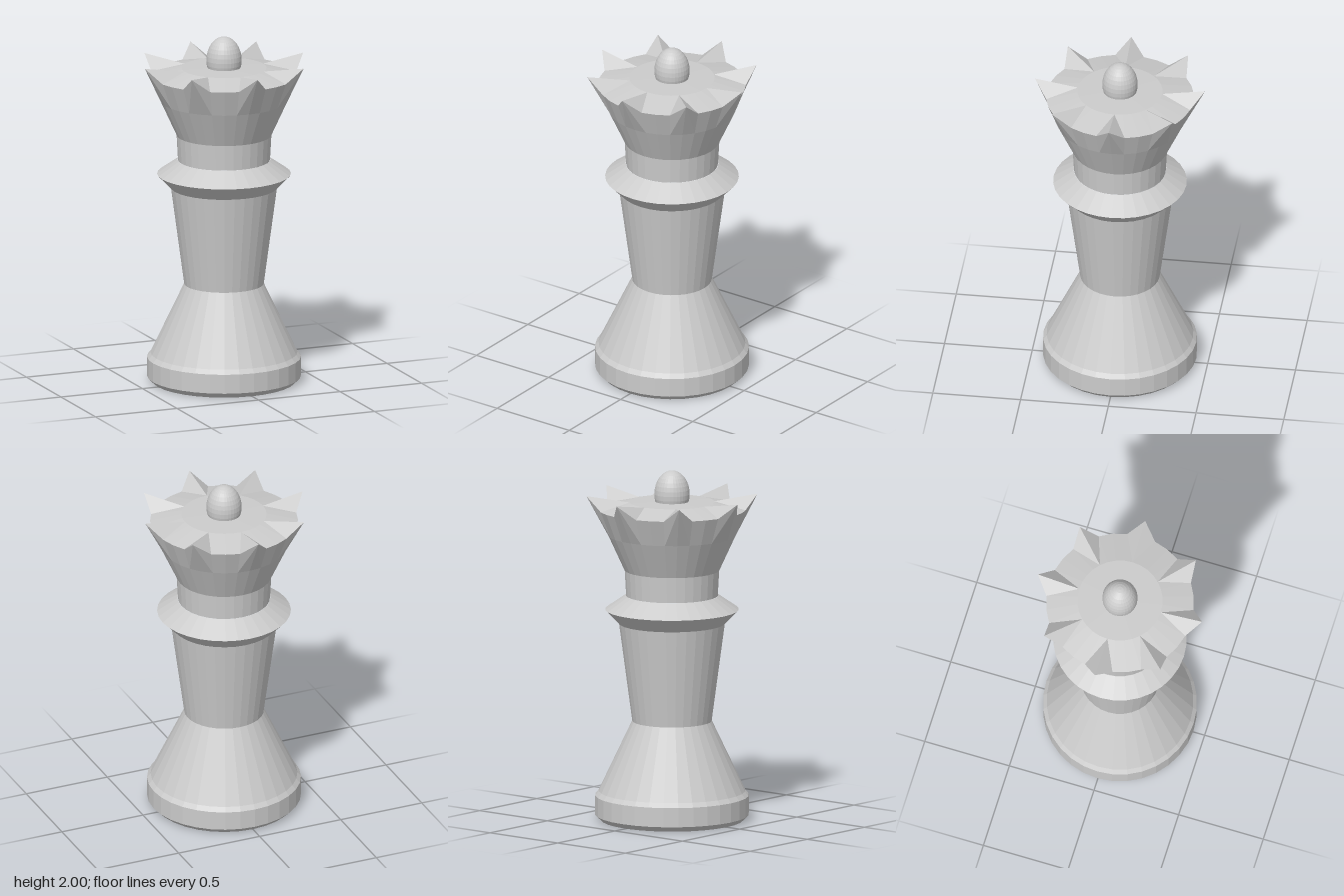
import * as THREE from 'three';

const SIDES = 32;

export function createModel() {
  const group = new THREE.Group();
  const material = new THREE.MeshStandardMaterial({ color: 0xcccccc, flatShading: true });

  function add(name, geometry) {
    const mesh = new THREE.Mesh(geometry, material);
    mesh.name = name;
    group.add(mesh);
    return mesh;
  }

  // Turned part from a [radius, height] profile, listed bottom to top
  function turned(name, profile) {
    const points = profile.map(([r, y]) => new THREE.Vector2(r, y));
    return add(name, new THREE.LatheGeometry(points, SIDES));
  }

  turned('base', [[0, 0], [0.405, 0], [0.435, 0.03], [0.435, 0.14], [0.412, 0.168], [0, 0.168]]);
  turned('skirt', [[0.415, 0.165], [0.225, 0.565]]);
  turned('stem', [[0.225, 0.565], [0.3, 1.125]]);
  turned('collar', [[0.26, 1.125], [0.3, 1.125], [0.378, 1.205], [0.262, 1.285]]);
  turned('neck', [[0.26, 1.285], [0.268, 1.43]]);

  // Crown: stacked rings whose rim rises to a point on every fourth column
  const rings = [
    () => [0.268, 1.43],
    () => [0.36, 1.63],
    (point) => (point ? [0.485, 1.86] : [0.418, 1.78]),
    () => [0.241, 1.82],
    () => [0, 1.825],
  ];
  const positions = [];
  const index = [];
  rings.forEach((ring, i) => {
    for (let j = 0; j < SIDES; j++) {
      const angle = (j / SIDES) * Math.PI * 2;
      const [r, y] = ring(j % 4 === 0);
      positions.push(r * Math.sin(angle), y, r * Math.cos(angle));
      if (i === 0) continue;
      const next = (j + 1) % SIDES;
      const a = (i - 1) * SIDES + j;
      const b = (i - 1) * SIDES + next;
      const c = i * SIDES + next;
      const d = i * SIDES + j;
      // Mirror the diagonal on either side of each point
      if (j % 4 < 2) index.push(a, b, d, b, c, d);
      else index.push(a, b, c, a, c, d);
    }
  });
  const crown = new THREE.BufferGeometry();
  crown.setAttribute('position', new THREE.Float32BufferAttribute(positions, 3));
  crown.setIndex(index);
  crown.computeVertexNormals();
  add('crown', crown);

  // Egg-shaped finial
  const finial = add('finial', new THREE.SphereGeometry(0.1, SIDES, 16));
  finial.scale.y = 1.35;
  finial.position.y = 1.865;

  return group;
}
